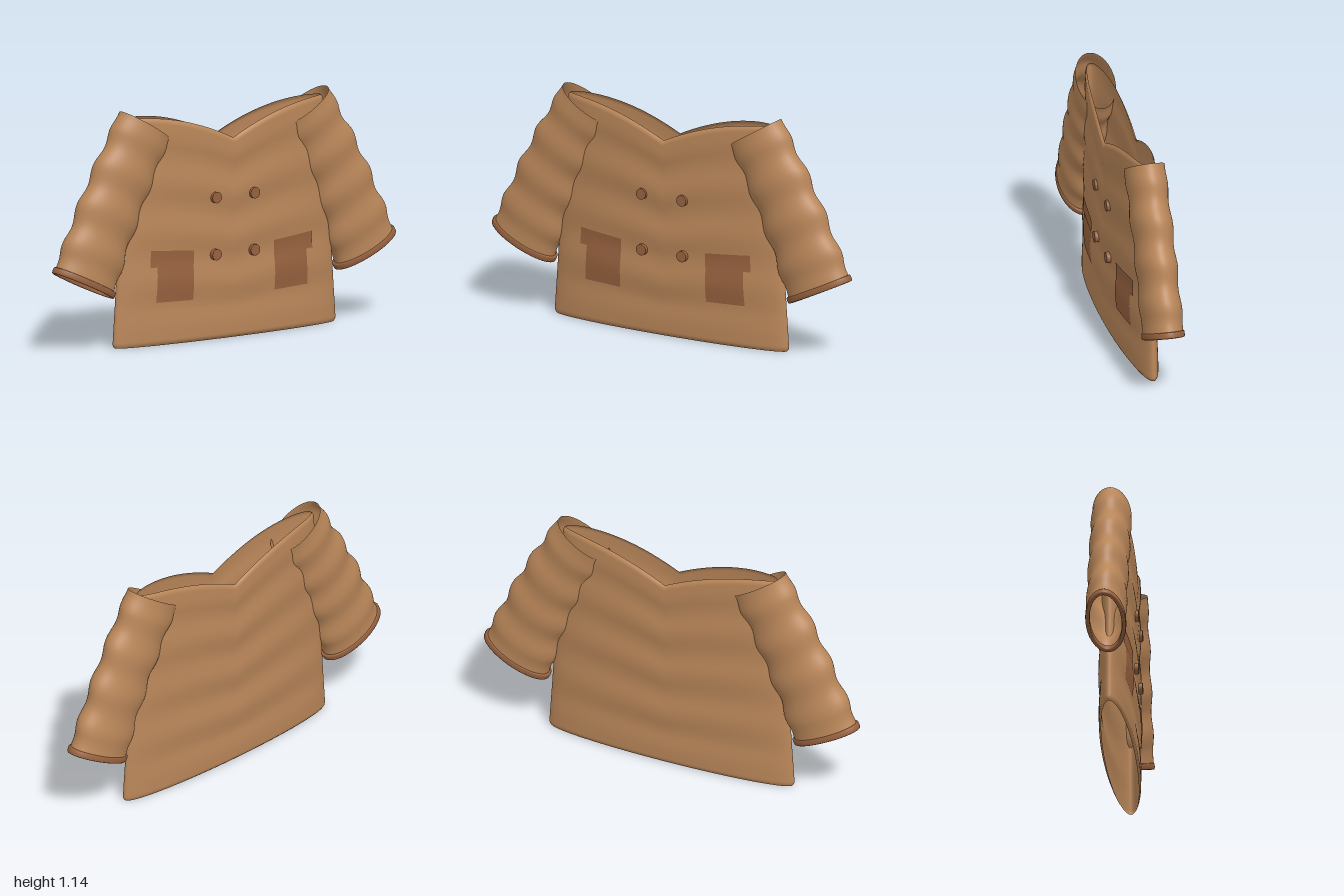
import * as THREE from 'three';

const TAU = Math.PI * 2;

// Grid surface from a rule fn(u, v) -> [x, y, z]; u and v may wrap around
function surface(nu, nv, fn, wrapU = false, wrapV = false) {
  const cols = wrapU ? nu : nu + 1, rows = wrapV ? nv : nv + 1;
  const pos = [], idx = [];
  for (let j = 0; j < rows; j++)
    for (let i = 0; i < cols; i++) pos.push(...fn(i / nu, j / nv));
  for (let j = 0; j < nv; j++)
    for (let i = 0; i < nu; i++) {
      const a = j * cols + i, b = j * cols + (i + 1) % cols;
      const k = (j + 1) % rows;
      const c = k * cols + i, d = k * cols + (i + 1) % cols;
      idx.push(a, c, b, b, c, d);
    }
  const g = new THREE.BufferGeometry();
  g.setAttribute('position', new THREE.Float32BufferAttribute(pos, 3));
  g.setIndex(idx);
  g.computeVertexNormals();
  return g;
}

// Body measurements: c runs from -1 to 1 across the width
const halfWidth = y => 0.655 - 0.07 * y;
const neckline = c => 0.96 + 0.14 * (1 - (1 - Math.abs(c)) ** 2);
const depth = t => 0.085 + 0.0045 * Math.sin(TAU * 4.5 * t) * Math.min(1, t * 6, (1 - t) * 8);
function bodyZ(x, y) {
  const c = x / halfWidth(y);
  return depth(y / neckline(c)) * Math.sqrt(Math.max(0, 1 - c * c));
}

function bodyPoint(u, v) {
  const a = u * TAU, c = Math.cos(a), top = neckline(c);
  const y = top * v;
  // rolled edges at hem and neckline
  const edge = Math.min(y, top - y), roll = Math.max(0, 1 - edge / 0.02);
  const inset = 0.012 * roll * roll;
  return [c * (halfWidth(y) - inset), y, Math.sin(a) * (depth(v) - inset)];
}

// Sleeve frame at s: 0 is the shoulder, 1 the cuff
function sleeveFrame(s) {
  const bow = 0.016 * Math.sin(Math.PI * s);
  const slope = THREE.MathUtils.lerp(0.6, 0.47, s), len = Math.hypot(1, slope);
  return {
    x: 0.465 + 0.36 * s + bow, y: 1.055 - 0.72 * s + bow * 0.5,
    ux: 1 / len, uy: slope / len,
    r: THREE.MathUtils.lerp(0.158, 0.176, s), d: 0.093,
  };
}

function sleevePoint(side, u, s) {
  const f = sleeveFrame(s), a = u * TAU, fade = Math.min(1, s * 8, (1 - s) * 8);
  const wave = Math.sin(TAU * (4 * s - 0.1) + 0.6 * Math.sin(a)) * fade;
  const w = Math.cos(a) * (f.r + 0.009 * wave);
  return [side * (f.x + f.ux * w), f.y + f.uy * w, Math.sin(a) * (f.d + 0.004 * wave)];
}

// Cuff band: rounded section swept round the sleeve end
function cuffPoint(side, u, v) {
  const f = sleeveFrame(1), a = u * TAU, b = v * TAU;
  const soft = t => Math.sign(t) * Math.sqrt(Math.abs(t));
  const out = 0.011 * soft(Math.cos(b)), along = 0.016 * soft(Math.sin(b));
  const w = Math.cos(a) * (f.r + out);
  return [side * (f.x + f.ux * w + f.uy * along), f.y + f.uy * w - f.ux * along,
    Math.sin(a) * (0.086 + out)];
}

// Flat patch laid over the body front; corners: top inner, top outer, bottom outer, bottom inner
function patch(side, [p, q, r, s], lift) {
  return surface(16, 16, (u, v) => {
    const mix = i => (p[i] * (1 - u) + q[i] * u) * (1 - v) + (s[i] * (1 - u) + r[i] * u) * v;
    const x = side * mix(0), y = mix(1);
    return [x, y, bodyZ(x, y) + lift];
  });
}

export function createModel() {
  const model = new THREE.Group();
  model.name = 'coat';
  const cloth = new THREE.MeshStandardMaterial({ color: 0xb98659, side: THREE.DoubleSide });
  cloth.name = 'tan cloth';
  const trim = new THREE.MeshStandardMaterial({ color: 0x98623f, side: THREE.DoubleSide });
  trim.name = 'brown trim';
  const add = (name, geometry, material) => {
    const mesh = new THREE.Mesh(geometry, material);
    mesh.name = name;
    model.add(mesh);
    return mesh;
  };

  add('body', surface(96, 120, bodyPoint, true), cloth);

  for (const side of [1, -1]) {
    const label = side > 0 ? 'left' : 'right';
    add(label + 'Sleeve', surface(56, 80, (u, v) => sleevePoint(side, u, v), true), cloth);
    add(label + 'Cuff', surface(64, 12, (u, v) => cuffPoint(side, u, v), true, true), trim);

    // Pocket with a wider flap
    add(label + 'Pocket', patch(side,
      [[0.237, 0.4], [0.436, 0.4], [0.445, 0.208], [0.24, 0.203]], 0.003), trim);
    add(label + 'PocketFlap', patch(side,
      [[0.235, 0.442], [0.472, 0.46], [0.477, 0.378], [0.236, 0.375]], 0.005), trim);

    // Two rows of buttons
    for (const y of [0.685, 0.41]) {
      const button = add(label + 'Button', new THREE.CylinderGeometry(0.027, 0.027, 0.025, 20), trim);
      button.rotation.x = Math.PI / 2;
      button.position.set(side * 0.113, y, 0.087);
    }
  }
  return model;
}
